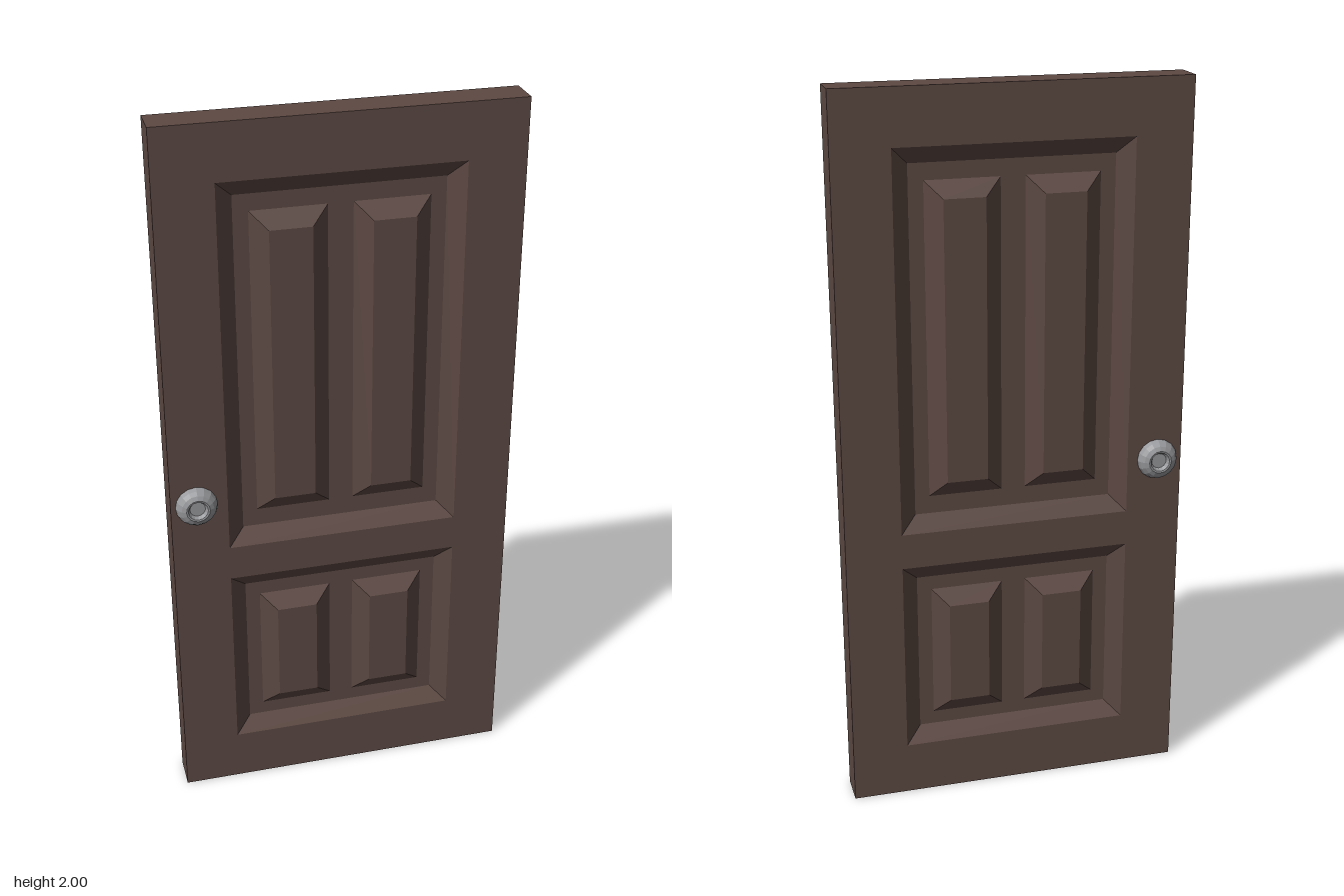
import * as THREE from 'three';

const HALF = 0.047;   // half the door thickness
const DEPTH = 0.03;   // depth of the recesses and height of the raised fields
const BEVEL = 0.045;  // width of every sloped border

// Rectangles are [left, bottom, right, top]
const inset = ([l, b, r, t], d) => [l + d, b + d, r - d, t - d];
const corners = ([l, b, r, t]) => [[l, b], [r, b], [r, t], [l, t]];

// Four sloped faces joining two rectangles at different depths
function band(outer, z0, inner, z1) {
  const o = corners(outer).map(([x, y]) => [x, y, z0]);
  const n = corners(inner).map(([x, y]) => [x, y, z1]);
  const pos = [];
  for (let i = 0; i < 4; i++) {
    const j = (i + 1) % 4;
    pos.push(...o[i], ...o[j], ...n[j], ...o[i], ...n[j], ...n[i]);
  }
  const g = new THREE.BufferGeometry();
  g.setAttribute('position', new THREE.Float32BufferAttribute(pos, 3));
  g.computeVertexNormals();
  return g;
}

// Flat rectangle with rectangular openings
function plate(rect, z, holes = []) {
  const points = (r) => corners(r).map(([x, y]) => new THREE.Vector2(x, y));
  const shape = new THREE.Shape(points(rect));
  holes.forEach((h) => shape.holes.push(new THREE.Path(points(h).reverse())));
  return new THREE.ShapeGeometry(shape).translate(0, 0, z);
}

export function createModel() {
  const wood = new THREE.MeshStandardMaterial({ name: 'dark brown wood', color: 0x5d4943 });
  const metal = new THREE.MeshStandardMaterial({ name: 'grey metal', color: 0x98999c });

  const model = new THREE.Group();
  model.name = 'door';
  const add = (parent, name, geometry, material) => {
    const mesh = new THREE.Mesh(geometry, material);
    mesh.name = name;
    parent.add(mesh);
    return mesh;
  };

  const outline = [-0.475, 0, 0.475, 2];
  const sections = [
    { name: 'upper', recess: [-0.32, 0.805, 0.32, 1.85], low: 0.9, high: 1.76 },
    { name: 'lower', recess: [-0.32, 0.15, 0.32, 0.705], low: 0.233, high: 0.62 },
  ];

  // Outer edges of the slab
  add(model, 'slabEdges', band(outline, -HALF, outline, HALF), wood);

  // Knob profile: rounded rim with a shallow dish in its end
  const knobProfile = [
    [0.056, 0.04], [0.057, 0.05], [0.053, 0.062], [0.044, 0.072], [0.032, 0.078],
    [0.027, 0.077], [0.021, 0.066], [0, 0.066],
  ].map(([r, h]) => new THREE.Vector2(r, h));

  for (const side of ['front', 'back']) {
    const face = new THREE.Group();
    face.name = side + 'Face';
    if (side === 'back') face.rotation.y = Math.PI;
    model.add(face);

    // Stiles and rails around the two recesses
    add(face, 'frame', plate(outline, HALF, sections.map((s) => s.recess)), wood);

    for (const { name, recess, low, high } of sections) {
      const floor = inset(recess, BEVEL);
      const z = HALF - DEPTH;
      const fields = [[-0.235, low, -0.033, high], [0.033, low, 0.235, high]];
      add(face, name + 'RecessBorder', band(recess, HALF, floor, z), wood);
      add(face, name + 'RecessFloor', plate(floor, z, fields), wood);

      // Pair of raised fields
      for (const field of fields) {
        const top = inset(field, BEVEL);
        add(face, name + 'PanelBevel', band(field, z, top, HALF), wood);
        add(face, name + 'PanelTop', plate(top, HALF), wood);
      }
    }

    // Knob, on the same edge of the door for both faces
    // (profile runs outward along its axis, so it is reversed to face out)
    const geometry = new THREE.LatheGeometry([...knobProfile], 16).toNonIndexed();
    geometry.computeVertexNormals();
    geometry.rotateX(Math.PI / 2);
    const knob = add(face, 'knob', geometry, metal);
    knob.position.set(side === 'front' ? -0.405 : 0.405, 0.955, 0);
  }

  return model;
}
